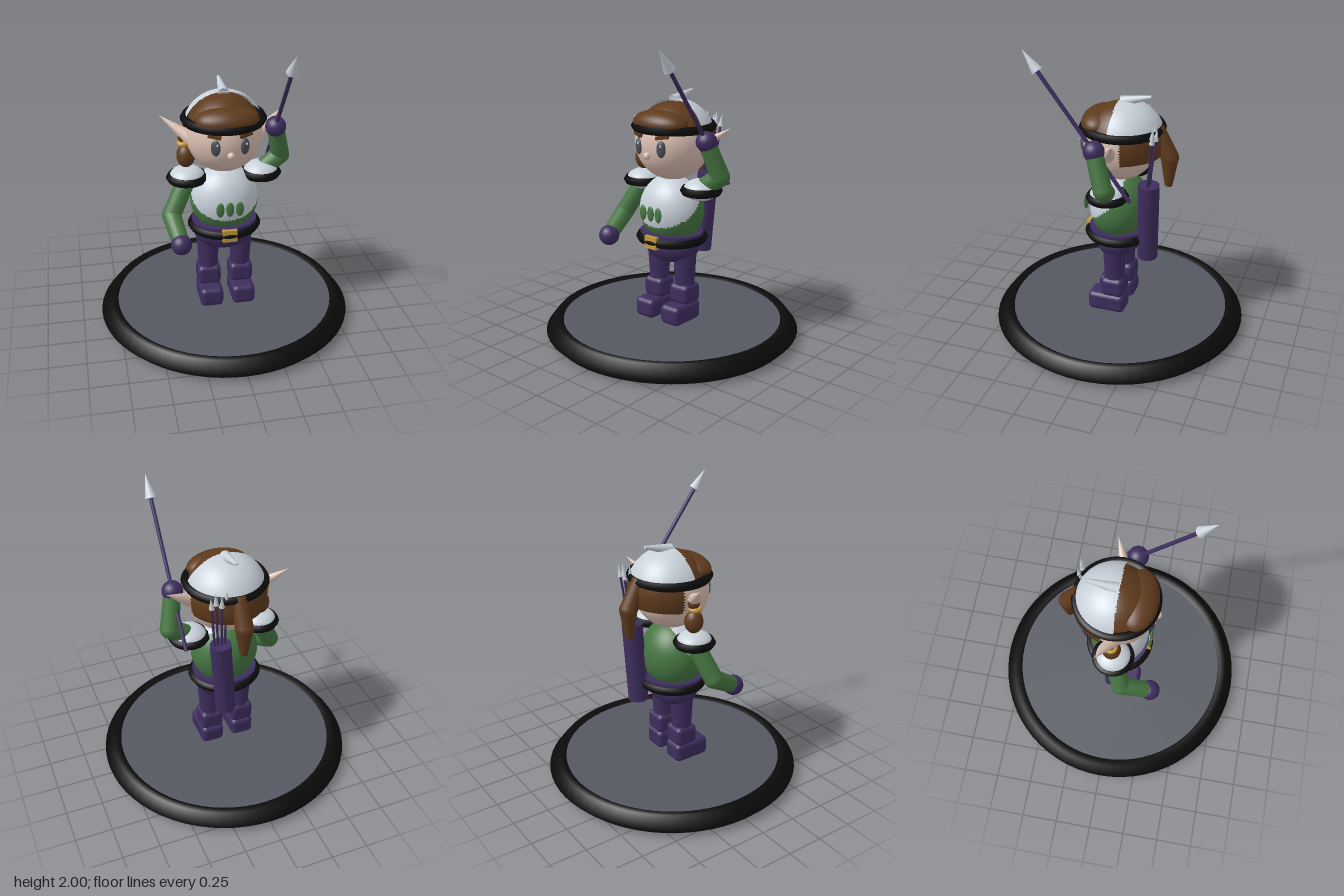
import * as THREE from 'three';
import { RoundedBoxGeometry } from 'three/addons/geometries/RoundedBoxGeometry.js';

const paint = (name, color, side = THREE.FrontSide) => {
  const m = new THREE.MeshStandardMaterial({ color, side });
  m.name = name;
  return m;
};
const V = (x, y, z) => new THREE.Vector3(x, y, z);

export function createModel() {
  const skin = paint('skin', 0xdcc0b3);
  const brown = paint('brown hair', 0x5e3a1c, THREE.DoubleSide);
  const white = paint('pale armour', 0xc8d0d9, THREE.DoubleSide);
  const green = paint('green cloth', 0x467542);
  const purple = paint('purple cloth', 0x3e2d5e);
  const black = paint('black trim', 0x0b0b0b, THREE.DoubleSide);
  const grey = paint('grey floor', 0x555861);
  const gold = paint('gold', 0xc39a3c);
  const eyeGrey = paint('eye grey', 0x4a5057);

  const model = new THREE.Group();
  const add = (name, geometry, material, x = 0, y = 0, z = 0, parent = model) => {
    const mesh = new THREE.Mesh(geometry, material);
    mesh.name = name;
    mesh.position.set(x, y, z);
    parent.add(mesh);
    return mesh;
  };
  const ball = (name, material, c, rx, ry = rx, rz = rx) =>
    add(name, new THREE.SphereGeometry(1, 32, 20).scale(rx, ry, rz), material, ...c);

  // Tapered round bar from point a to point b
  const bar = (name, material, a, b, ra, rb, sides = 20) => {
    const d = b.clone().sub(a);
    const mesh = add(name, new THREE.CylinderGeometry(rb, ra, d.length(), sides), material);
    mesh.position.copy(a).addScaledVector(d, 0.5);
    mesh.quaternion.setFromUnitVectors(V(0, 1, 0), d.normalize());
    return mesh;
  };

  // Horizontal six-sided trim ring with a pointed outer edge
  const ring = (name, c, radius, tube, depth = 1) =>
    add(name, new THREE.TorusGeometry(radius, tube, 6, 48).rotateX(Math.PI / 2).scale(1, 1, depth), black, ...c);

  // Ellipsoid whose faces are sorted into colours by a rule; -1 leaves a face out
  const paintedBall = (name, materials, c, r, rule) => {
    const src = new THREE.SphereGeometry(1, 64, 44).scale(...r).toNonIndexed();
    const p = src.attributes.position, n = src.attributes.normal;
    const pos = materials.map(() => []), nor = materials.map(() => []);
    for (let i = 0; i < p.count; i += 3) {
      const mid = V(0, 0, 0);
      for (let k = 0; k < 3; k++) mid.add(V(p.getX(i + k), p.getY(i + k), p.getZ(i + k)));
      const slot = rule(mid.divideScalar(3).add(V(...c)));
      if (slot < 0) continue;
      for (let k = 0; k < 3; k++) {
        pos[slot].push(p.getX(i + k), p.getY(i + k), p.getZ(i + k));
        nor[slot].push(n.getX(i + k), n.getY(i + k), n.getZ(i + k));
      }
    }
    const g = new THREE.BufferGeometry();
    g.setAttribute('position', new THREE.Float32BufferAttribute(pos.flat(), 3));
    g.setAttribute('normal', new THREE.Float32BufferAttribute(nor.flat(), 3));
    let start = 0;
    pos.forEach((list, slot) => {
      g.addGroup(start, list.length / 3, slot);
      start += list.length / 3;
    });
    return add(name, g, materials, ...c);
  };

  // Base
  add('baseFloor', new THREE.CylinderGeometry(0.8, 0.822, 0.115, 64), grey, 0, 0.0575, 0);
  const rim = [[0.823, 0.002], [0.87, 0.05], [0.81, 0.127], [0.77, 0.127], [0.745, 0.11]];
  add('baseRim', new THREE.LatheGeometry(rim.map(([r, y]) => new THREE.Vector2(r, y)), 64), black);

  // Legs, boots and hips
  for (const s of [-1, 1]) {
    bar('thigh', purple, V(s * 0.112, 0.35, 0), V(s * 0.115, 0.62, 0), 0.066, 0.08);
    add('bootCuff', new RoundedBoxGeometry(0.16, 0.14, 0.16, 4, 0.035), purple, s * 0.112, 0.308, 0);
    add('foot', new RoundedBoxGeometry(0.16, 0.135, 0.26, 4, 0.035), purple, s * 0.112, 0.182, 0.045);
  }
  ball('hips', purple, [0, 0.64, 0], 0.21, 0.13, 0.155);

  // Torso with chest plate
  paintedBall('torso', [green, white], [0, 0.88, 0], [0.23, 0.24, 0.2],
    (q) => (q.y + 0.8 * q.z > 0.935 && q.z > -0.06 ? 1 : 0));
  for (const x of [-0.065, 0, 0.065])
    ball('chestMark', green, [x, 0.89, 0.22], 0.027, 0.052, 0.012);

  // Belt
  add('beltCloth', new THREE.CylinderGeometry(0.222, 0.222, 0.08, 40).scale(1, 1, 0.92), purple, 0, 0.695, 0);
  ring('beltTrim', [0, 0.69, 0], 0.22, 0.03, 0.94);
  add('buckle', new THREE.BoxGeometry(0.1, 0.085, 0.05), gold, 0, 0.692, 0.202);

  // Shoulder pads
  for (const s of [-1, 1]) {
    ball('shoulderPad', white, [s * 0.25, 1.055, 0], 0.118, 0.073, 0.118);
    ring('shoulderTrim', [s * 0.25, 1.05, 0], 0.11, 0.03);
  }

  // Arms: shoulder, elbow, hand
  const arms = [
    [V(-0.25, 1.04, 0), V(-0.37, 0.81, 0.07), V(-0.333, 0.69, 0.27)],
    [V(0.25, 1.06, 0), V(0.387, 1.155, -0.02), V(0.333, 1.39, 0.058)],
  ];
  for (const [shoulder, elbow, hand] of arms) {
    bar('upperArm', green, shoulder, elbow, 0.062, 0.064);
    ball('elbow', green, elbow.toArray(), 0.064);
    bar('forearm', green, elbow, hand, 0.064, 0.056);
    ball('hand', purple, hand.toArray(), 0.069);
  }

  // Spear
  const tip = V(0.333, 2, 0.515), dir = V(0, 0.8, 0.6);
  const neck = tip.clone().addScaledVector(dir, -0.16);
  bar('spearShaft', purple, tip.clone().addScaledVector(dir, -1.16), neck, 0.013, 0.013, 12);
  bar('spearHead', white, neck, tip, 0.038, 0.0005, 16);

  // Head, hair and helmet
  paintedBall('head', [skin, brown], [0, 1.35, -0.01], [0.256, 0.262, 0.25],
    (q) => (q.y > 1.45 || (q.z < -0.08 && q.y > 1.26) ? 1 : 0));
  paintedBall('helmet', [white, brown], [0, 1.365, -0.02], [0.272, 0.265, 0.282], (q) => {
    if (q.y > 1.45) return q.z < 0 ? 0 : -1;
    return q.z < -0.09 && q.y > 1.27 ? 1 : -1;
  });
  ball('fringe', brown, [0, 1.48, 0.118], 0.21, 0.09, 0.13);
  ring('headband', [0, 1.45, -0.02], 0.255, 0.03);
  bar('helmetSpike', white, V(0, 1.615, -0.015), V(0, 1.665, -0.21), 0.037, 0.01, 16);

  // Face
  add('nose', new THREE.SphereGeometry(0.024, 20, 14), skin, 0, 1.285, 0.25);
  for (const s of [-1, 1]) {
    ball('eye', eyeGrey, [s * 0.095, 1.335, 0.222], 0.031, 0.055, 0.018).rotation.y = s * 0.38;
    ball('eyeGlint', white, [s * 0.095 + 0.008, 1.358, 0.24], 0.007, 0.009, 0.004);
    const brow = add('eyebrow', new THREE.BoxGeometry(0.085, 0.022, 0.03), brown, s * 0.1, 1.412, 0.217);
    brow.rotation.set(0, s * 0.4, s * 0.15);
    bar('ear', skin, V(s * 0.23, 1.33, 0), V(s * 0.415, 1.465, -0.085), 0.05, 0.001);
  }

  // Ponytail and side bunch
  const bend = V(0, 1.27, -0.342);
  bar('ponytailUpper', brown, V(0, 1.46, -0.25), bend, 0.05, 0.06);
  ball('ponytailBend', brown, bend.toArray(), 0.06);
  bar('ponytailLower', brown, bend, V(0, 1.07, -0.338), 0.06, 0.026);
  ball('bunchRoot', brown, [-0.265, 1.33, -0.02], 0.04);
  add('bunchTie', new THREE.TorusGeometry(0.028, 0.017, 10, 24).rotateX(Math.PI / 2), gold, -0.27, 1.29, -0.01);
  ball('bunch', brown, [-0.255, 1.2, -0.01], 0.062, 0.08, 0.062);

  // Quiver and arrows
  bar('quiver', purple, V(0.08, 0.56, -0.225), V(0.12, 1.11, -0.24), 0.068, 0.07, 28);
  const arrows = [[0.09, -0.27], [0.13, -0.292], [0.165, -0.275], [0.2, -0.285]];
  arrows.forEach(([x, z], i) => {
    const foot = V(0.09 + i * 0.022, 1.05, -0.235), top = V(x, 1.53 - (i % 2) * 0.02, z);
    const join = foot.clone().lerp(top, 0.82);
    bar('arrowShaft', purple, foot, join, 0.008, 0.008, 8);
    bar('arrowHead', white, join, top, 0.018, 0.0005, 12);
  });

  return model;
}
